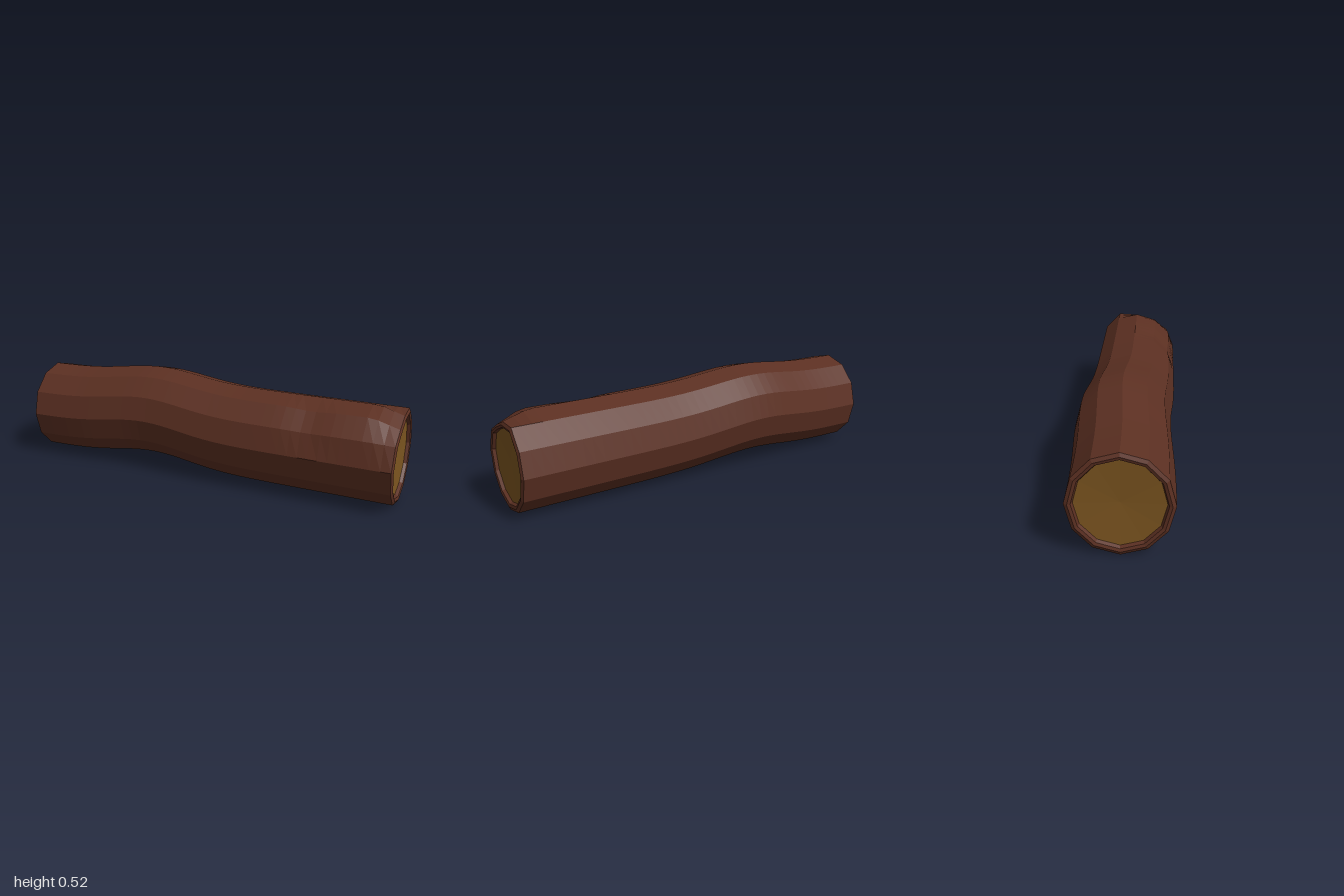
import * as THREE from 'three';

const SIDES = 12;
const YAW = 0.2275;      // the log lies slightly askew
const HALF = 0.975;      // half length along its axis
const axis = new THREE.Vector3(Math.sin(YAW), 0, Math.cos(YAW));
const across = new THREE.Vector3(Math.cos(YAW), 0, -Math.sin(YAW));

const bell = (t, centre, width) => Math.exp(-(((t - centre) / width) ** 2));

// Chipped upper edge at the front end, by side index (0 = +x, 3 = top)
const chip = { 3: 0.16, 4: 0.22, 5: 0.08 };

// Point on the log: s along the axis, j around it, scale towards the centre
function point(s, j, scale = 1) {
  const k = j % SIDES, a = (k / SIDES) * Math.PI * 2;
  const bend = bell(s, -0.31, 0.3);
  const fade = THREE.MathUtils.clamp((s - 0.85) / 0.115, 0, 1);
  let r = scale * (1 - (chip[k] || 0) * fade);
  if (k === 4 || k === 5) r -= 0.05 * scale * bell(s, 0.56, 0.09); // shallow dent
  return new THREE.Vector3(0, 0.235 + 0.046 * bend, 0)
    .addScaledVector(axis, s)
    .addScaledVector(across, 0.226 * r * Math.cos(a) + 0.022 * bend)
    .add(new THREE.Vector3(0, 0.235 * r * Math.sin(a), 0));
}

function facetedMesh(name, points, color) {
  const geometry = new THREE.BufferGeometry().setFromPoints(points);
  geometry.computeVertexNormals();
  const mesh = new THREE.Mesh(geometry, new THREE.MeshStandardMaterial({ color, flatShading: true }));
  mesh.name = name;
  return mesh;
}

// Bark: recessed rim, bevel, long bent body, bevel, recessed rim
function bark() {
  const rim = [[HALF - 0.02, 0.84], [HALF - 0.004, 0.87], [HALF, 0.93]];
  const rows = rim.map(([s, k]) => [-s, k]);
  const body = HALF - 0.008, steps = 40;
  for (let i = 0; i <= steps; i++) rows.push([-body + (2 * body * i) / steps, 1]);
  rows.push(...rim.reverse());

  const points = [];
  for (let i = 0; i < rows.length - 1; i++) {
    for (let j = 0; j < SIDES; j++) {
      const a = point(rows[i][0], j, rows[i][1]);
      const b = point(rows[i][0], j + 1, rows[i][1]);
      const c = point(rows[i + 1][0], j + 1, rows[i + 1][1]);
      const d = point(rows[i + 1][0], j, rows[i + 1][1]);
      points.push(a, b, c, a, c, d);
    }
  }
  return facetedMesh('bark', points, 0x5c3022);
}

// Cut wood face, slightly hollow towards the middle
function cutFace(name, dir) {
  const s = dir * (HALF - 0.02), points = [];
  for (let j = 0; j < SIDES; j++) {
    const edge = [point(s, j, 0.84), point(s, j + 1, 0.84)];
    if (dir < 0) edge.reverse();
    points.push(point(s - dir * 0.01, 0, 0), ...edge);
  }
  return facetedMesh(name, points, 0x7c5520);
}

export function createModel() {
  const log = new THREE.Group();
  log.name = 'log';
  log.add(bark(), cutFace('frontCutFace', 1), cutFace('backCutFace', -1));
  return log;
}
